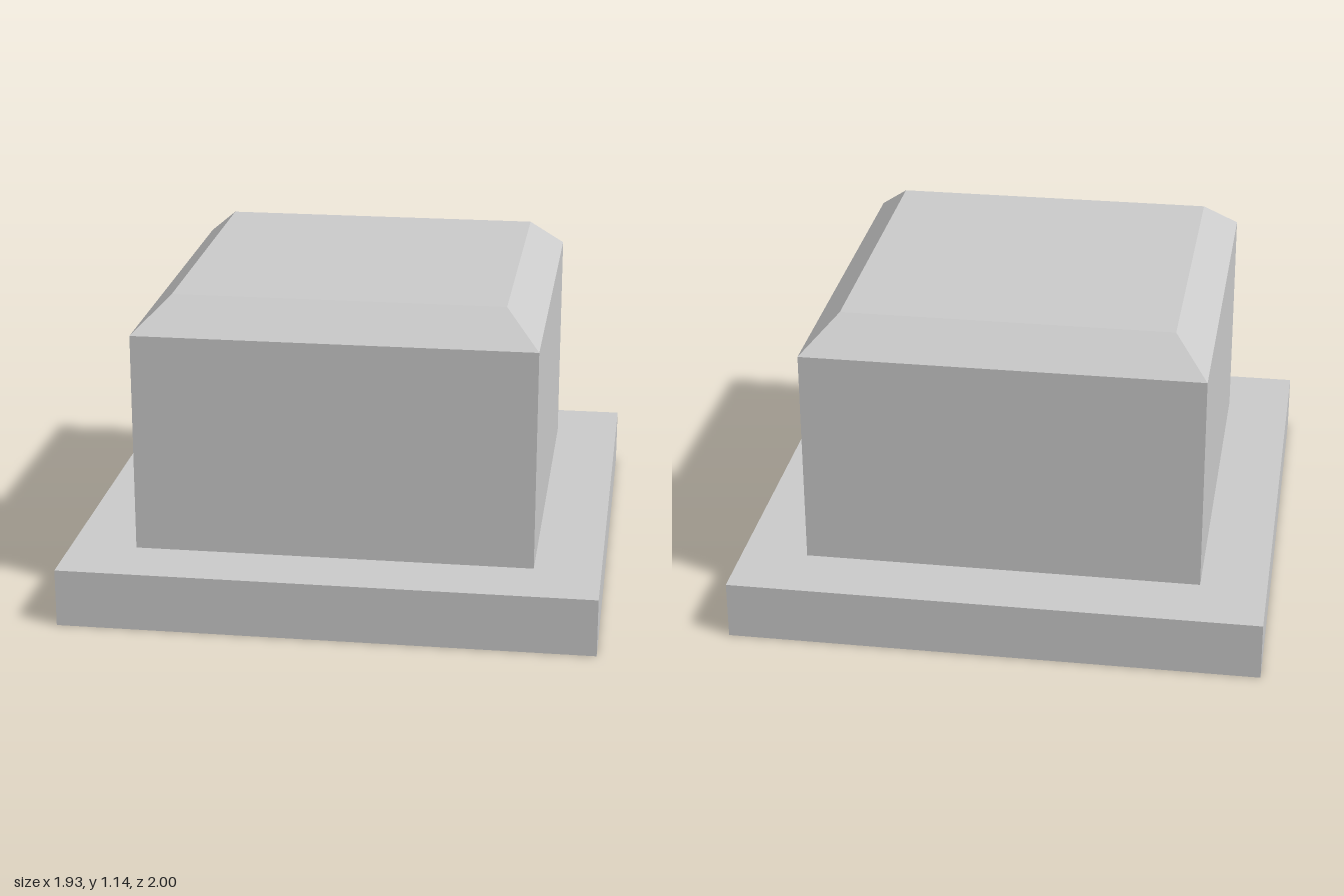
import * as THREE from 'three';

const material = new THREE.MeshStandardMaterial({ color: 0xcccccc, flatShading: true });

// Box from y0 to y1 whose top may be narrower than its bottom
function block(name, y0, y1, [width, depth], [topWidth, topDepth] = [width, depth]) {
  const geometry = new THREE.BoxGeometry(width, y1 - y0, depth);
  geometry.translate(0, (y0 + y1) / 2, 0);
  const p = geometry.attributes.position;
  const middle = (y0 + y1) / 2;
  for (let i = 0; i < p.count; i++) {
    if (p.getY(i) > middle) {
      p.setX(i, Math.sign(p.getX(i)) * topWidth / 2);
      p.setZ(i, Math.sign(p.getZ(i)) * topDepth / 2);
    }
  }
  geometry.computeVertexNormals();
  const mesh = new THREE.Mesh(geometry, material);
  mesh.name = name;
  return mesh;
}

export function createModel() {
  const model = new THREE.Group();
  model.name = 'cappedBlock';
  model.add(
    // Wide flat plinth
    block('basePlate', 0, 0.212, [1.932, 2]),
    // Upright body
    block('body', 0.212, 1.02, [1.45, 1.5]),
    // Bevelled cap
    block('bevelledTop', 1.02, 1.138, [1.45, 1.5], [1.2, 1.21]),
  );
  return model;
}
